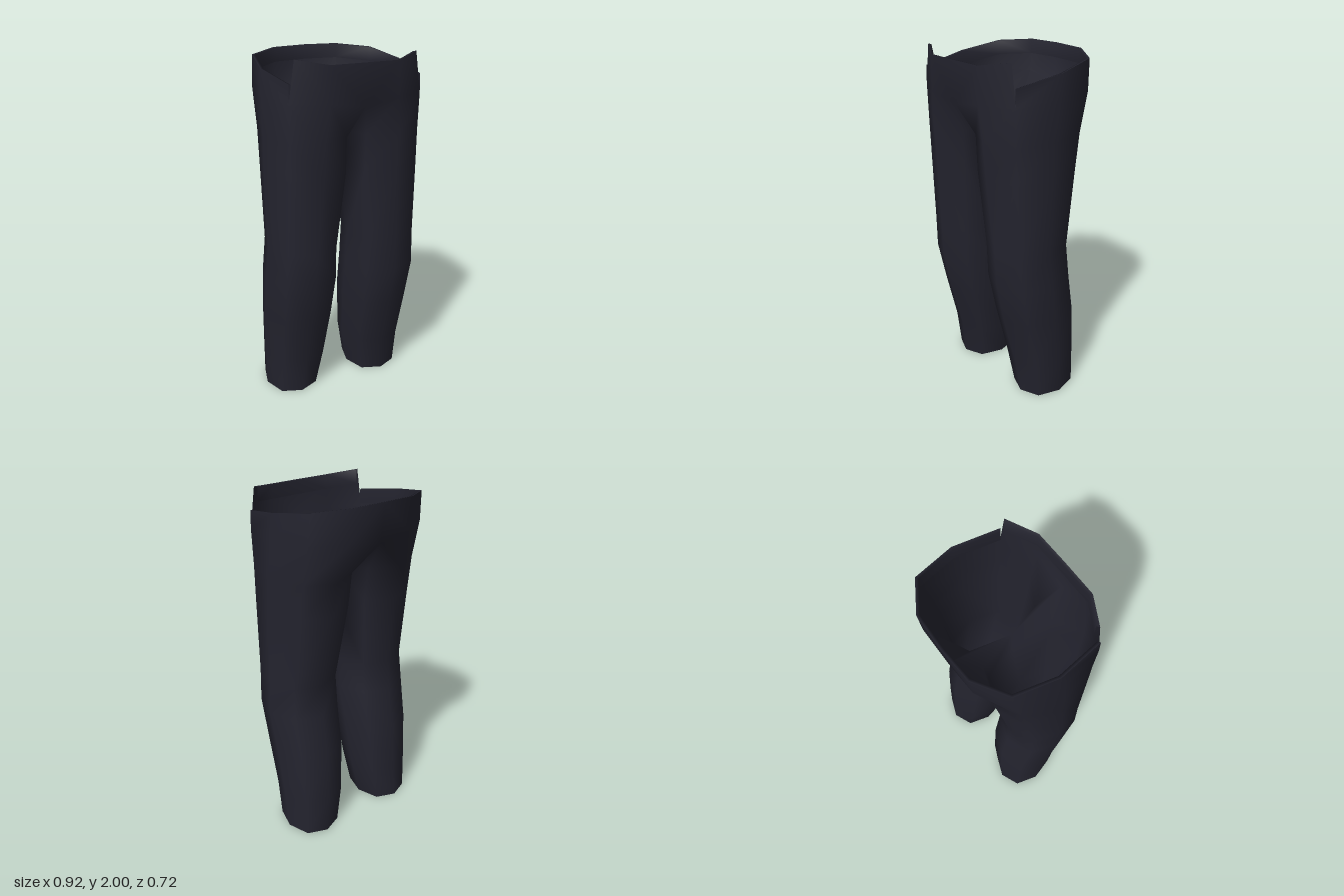
import * as THREE from 'three';
import { mergeVertices } from 'three/addons/utils/BufferGeometryUtils.js';

const cloth = new THREE.MeshStandardMaterial({ color: 0x24242f, side: THREE.DoubleSide });
cloth.name = 'dark cloth';

// Leg sections: height, inner x, outer x, back z, front z
const legSections = [
  [0, 0.125, 0.43, -0.23, 0.13],
  [0.22, 0.08, 0.44, -0.225, 0.16],
  [0.52, 0.06, 0.45, -0.215, 0.24],
  [0.76, 0.05, 0.46, -0.17, 0.29],
  [0.95, 0.055, 0.445, -0.155, 0.3],
  [1.38, 0, 0.445, -0.22, 0.33],
  [1.58, 0, 0.44, -0.255, 0.345],
];

// Half rings run from the front centre around the left side to the back centre
const hipRing = [
  [0, 1.75, 0.355], [0.2, 1.78, 0.36], [0.388, 1.78, 0.27], [0.435, 1.8, 0.02],
  [0.385, 1.8, -0.225], [0.2, 1.8, -0.335], [0, 1.77, -0.335],
];
const flapEdge = [[0, 1.975, 0.362], [0.2, 1.975, 0.36], [0.355, 2, 0.27]];
const waistEdge = [
  [0.385, 1.88, 0.27], [0.422, 1.925, 0], [0.372, 1.965, -0.24], [0.2, 1.982, -0.35], [0, 1.985, -0.36],
];

// Eight-sided leg ring, starting at the front inner corner
function legRing([y, xIn, xOut, zBack, zFront]) {
  const ring = [];
  for (let i = 0; i < 8; i++) {
    const a = (i - 1) * Math.PI / 4;
    const k = i % 2 ? 1 : 1.05;
    const x = (xIn + xOut) / 2 + k * Math.sin(a) * (xOut - xIn) / 2;
    const z = (zBack + zFront) / 2 + k * Math.cos(a) * (zFront - zBack) / 2;
    ring.push([x, y, z]);
  }
  return ring;
}

// Collects triangles together with their mirror image
function makeSurface() {
  const pos = [];
  const tri = (a, b, c) => {
    pos.push(...a, ...b, ...c);
    for (const [x, y, z] of [a, c, b]) pos.push(x === 0 ? 0 : -x, y, z);
  };
  const strip = (low, high, closed = false) => {
    const n = low.length;
    for (let i = 0; i < (closed ? n : n - 1); i++) {
      const j = (i + 1) % n;
      tri(low[i], low[j], high[j]);
      tri(low[i], high[j], high[i]);
    }
  };
  const mesh = (name) => {
    let g = new THREE.BufferGeometry();
    g.setAttribute('position', new THREE.Float32BufferAttribute(pos, 3));
    g = mergeVertices(g, 1e-4);
    g.computeVertexNormals();
    const m = new THREE.Mesh(g, cloth);
    m.name = name;
    return m;
  };
  return { tri, strip, mesh };
}

export function createModel() {
  const group = new THREE.Group();
  group.name = 'trousers';

  // Legs, crotch, hips and waist as one smooth shell
  const shell = makeSurface();
  const rings = legSections.map(legRing);
  for (let i = 0; i < rings.length - 1; i++) shell.strip(rings[i], rings[i + 1], true);
  const thigh = rings[rings.length - 1];
  shell.strip(thigh.slice(0, 7), hipRing);
  const inner = [0, thigh[7][1], thigh[7][2]];
  shell.tri(inner, thigh[0], hipRing[0]);
  shell.tri(thigh[6], inner, hipRing[6]);
  shell.strip(hipRing.slice(0, 3), flapEdge);
  shell.strip(hipRing.slice(2), waistEdge);
  group.add(shell.mesh('trouserShell'));

  // Thin folded lip inside the waist
  const lip = makeSurface();
  const inset = (p, drop) => [p[0] * 0.96, p[1] - drop, p[2] * 0.96];
  for (const edge of [flapEdge, waistEdge]) {
    const rim = edge.map((p) => inset(p, 0.003));
    lip.strip(edge, rim);
    lip.strip(rim, edge.map((p) => inset(p, 0.08)));
  }
  group.add(lip.mesh('waistLip'));

  return group;
}
